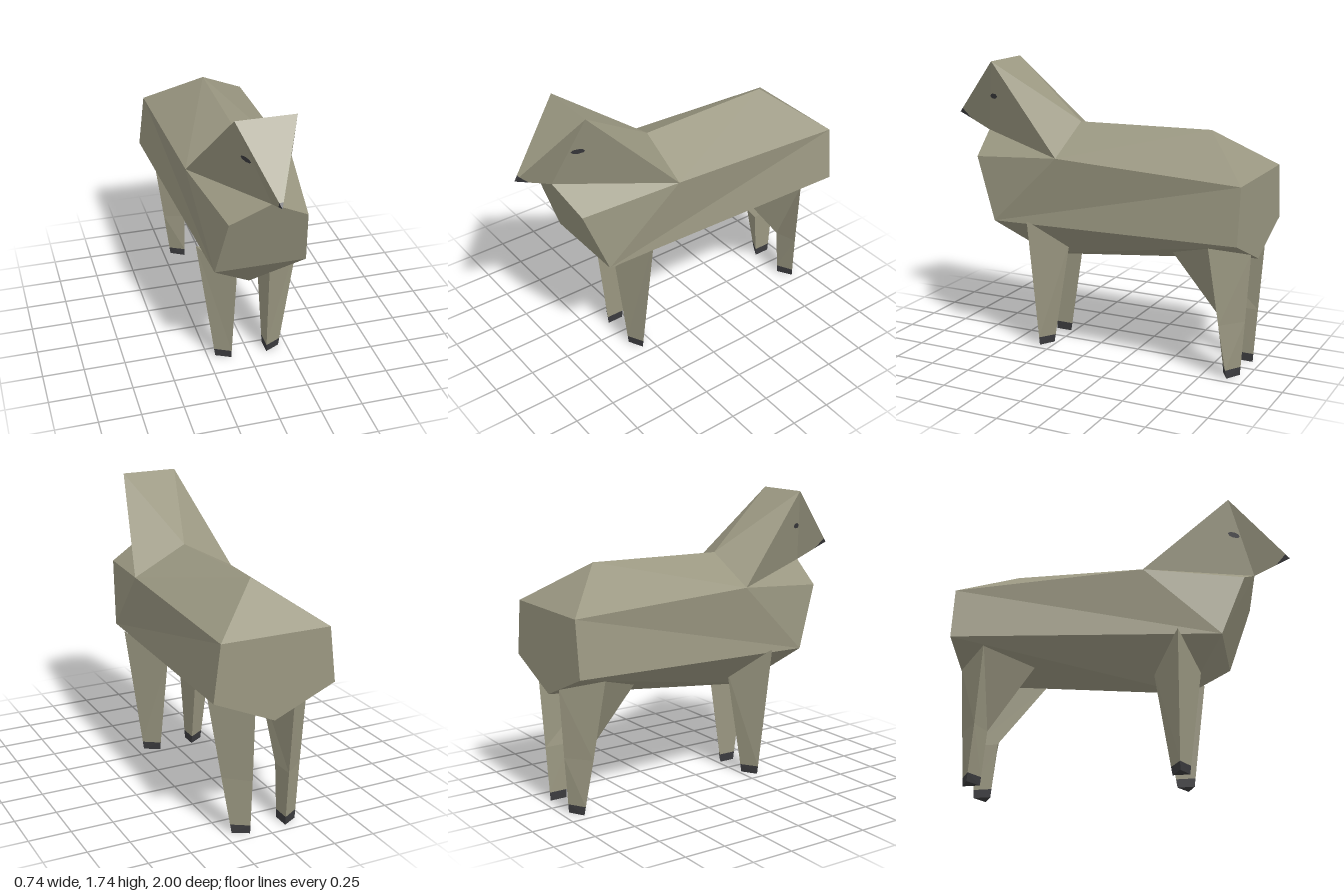
import * as THREE from 'three';

const coat = new THREE.MeshStandardMaterial({ color: 0x9a9781, flatShading: true });
coat.name = 'stone coat';
const dark = new THREE.MeshStandardMaterial({ color: 0x3b3b3e, flatShading: true });
dark.name = 'charcoal';

// Flat-faced mesh from polygons (each a fan); every face is turned away from the inner point
function facets(name, material, inner, polygons) {
  const pos = [];
  const ref = new THREE.Vector3(...inner);
  for (const poly of polygons) {
    const p = poly.map((c) => new THREE.Vector3(...c));
    for (let i = 1; i < p.length - 1; i++) {
      const [a, b, c] = [p[0], p[i], p[i + 1]];
      const n = b.clone().sub(a).cross(c.clone().sub(a));
      const mid = a.clone().add(b).add(c).divideScalar(3).sub(ref);
      for (const v of n.dot(mid) < 0 ? [a, c, b] : [a, b, c]) pos.push(v.x, v.y, v.z);
    }
  }
  const g = new THREE.BufferGeometry();
  g.setAttribute('position', new THREE.Float32BufferAttribute(pos, 3));
  g.computeVertexNormals();
  const mesh = new THREE.Mesh(g, material);
  mesh.name = name;
  return mesh;
}

const lerp = (a, b, t) => a.map((v, i) => v + (b[i] - v) * t);
const flip = (p, s) => [p[0] * s, p[1], p[2]];
const SIDES = [1, -1];

// Points on the centre line
const nose = [-0.015, 1.38, 1];
const chin = [0, 1.285, 0.78];
const nape = [0, 1.385, 0.135];
const rump = [0, 1.4, -0.7];
const keelFront = [0, 0.535, 0.36];
const keelBack = [0, 0.68, -1];
// Points mirrored on both sides
const crown = [0.173, 1.735, 0.65];
const shoulder = [0.32, 1.215, 0.14];
const chest = [0.225, 1.16, 0.73];
const brisket = [0.27, 0.783, 0.59];
const hipTop = [0.33, 1.165, -1];
const hipLow = [0.37, 0.84, -1];

function buildBody() {
  const polys = [
    [chin, chest, brisket, flip(brisket, -1), flip(chest, -1)],
    [brisket, flip(brisket, -1), keelFront],
    [hipTop, hipLow, keelBack, flip(hipLow, -1), flip(hipTop, -1)],
    [hipTop, flip(hipTop, -1), rump],
  ];
  for (const s of SIDES) {
    const m = (...pts) => polys.push(pts.map((p) => flip(p, s)));
    m(chin, shoulder, chest);
    m(brisket, chest, shoulder, hipTop, hipLow);
    m(rump, nape, shoulder, hipTop);
    m(keelFront, brisket, hipLow, keelBack);
  }
  return facets('body', coat, [0, 1, 0], polys);
}

function buildHead() {
  const head = new THREE.Group();
  head.name = 'head';
  // The snout tip is cut off along its three edges and coloured separately
  const cutLow = lerp(nose, chin, 0.38);
  const cutTop = (s) => lerp(nose, flip(crown, s), 0.07);
  const skull = [
    [crown, flip(crown, -1), nape],
    [crown, flip(crown, -1), cutTop(-1), cutTop(1)],
  ];
  const tip = [[cutTop(1), cutTop(-1), nose]];
  for (const s of SIDES) {
    const c = flip(crown, s);
    skull.push([c, nape, flip(shoulder, s)]);
    skull.push([c, flip(shoulder, s), chin]);
    skull.push([c, chin, cutLow, cutTop(s)]);
    tip.push([cutTop(s), cutLow, nose]);
  }
  head.add(facets('skull', coat, [0, 1.4, 0.55], skull));
  head.add(facets('noseTip', dark, lerp(nose, [0, 1.39, 0.9], 0.5), tip));

  // Eyes: flat ovals lying on the cheeks
  for (const s of SIDES) {
    const n = new THREE.Vector3(0.867 * s, -0.198, 0.454).normalize();
    const eye = new THREE.Mesh(new THREE.CircleGeometry(1, 8), dark);
    eye.name = s > 0 ? 'leftEye' : 'rightEye';
    eye.scale.set(0.04, 0.017, 1);
    eye.quaternion.setFromUnitVectors(new THREE.Vector3(0, 0, 1), n);
    eye.position.set(0.112 * s, 1.517, 0.67).addScaledVector(n, 0.005);
    head.add(eye);
  }
  return head;
}

// Three-sided leg; each ring lists its outer, front and back corner
function buildLeg(name, rings, s) {
  const leg = new THREE.Group();
  leg.name = name;
  const r = rings.map((ring) => ring.map((p) => flip(p, s)));
  const foot = r[r.length - 1];
  const ankle = r[r.length - 2].map((p, i) => lerp(foot[i], p, 0.05 / p[1]));
  r.splice(r.length - 1, 0, ankle);
  for (let k = 0; k < r.length - 1; k++) {
    const [a, b] = [r[k], r[k + 1]];
    const polys = [0, 1, 2].map((i) => [a[i], a[(i + 1) % 3], b[(i + 1) % 3], b[i]]);
    if (k === 0) polys.push(a);
    const hoof = k === r.length - 2;
    if (hoof) polys.push(b);
    const centre = [0, 1, 2].map((d) => [...a, ...b].reduce((t, p) => t + p[d] / 6, 0));
    leg.add(facets(hoof ? 'hoof' : 'shank' + k, hoof ? dark : coat, centre, polys));
  }
  return leg;
}

const frontRings = [
  [[0.315, 0.815, 0.34], [0.1, 0.62, 0.445], [0.1, 0.66, 0.165]],
  [[0.202, 0, 0.325], [0.112, 0, 0.37], [0.112, 0, 0.27]],
];
const hindRings = [
  [[0.315, 0.81, -0.81], [0.16, 0.72, -0.52], [0.12, 0.735, -0.998]],
  [[0.248, 0.33, -0.86], [0.112, 0.33, -0.82], [0.114, 0.33, -0.972]],
  [[0.202, 0, -0.9], [0.112, 0, -0.847], [0.112, 0, -0.95]],
];

export function createModel() {
  const model = new THREE.Group();
  model.name = 'animal';
  model.add(buildBody(), buildHead());
  for (const s of SIDES) {
    const side = s > 0 ? 'left' : 'right';
    model.add(buildLeg(side + 'FrontLeg', frontRings, s));
    model.add(buildLeg(side + 'HindLeg', hindRings, s));
  }
  return model;
}
